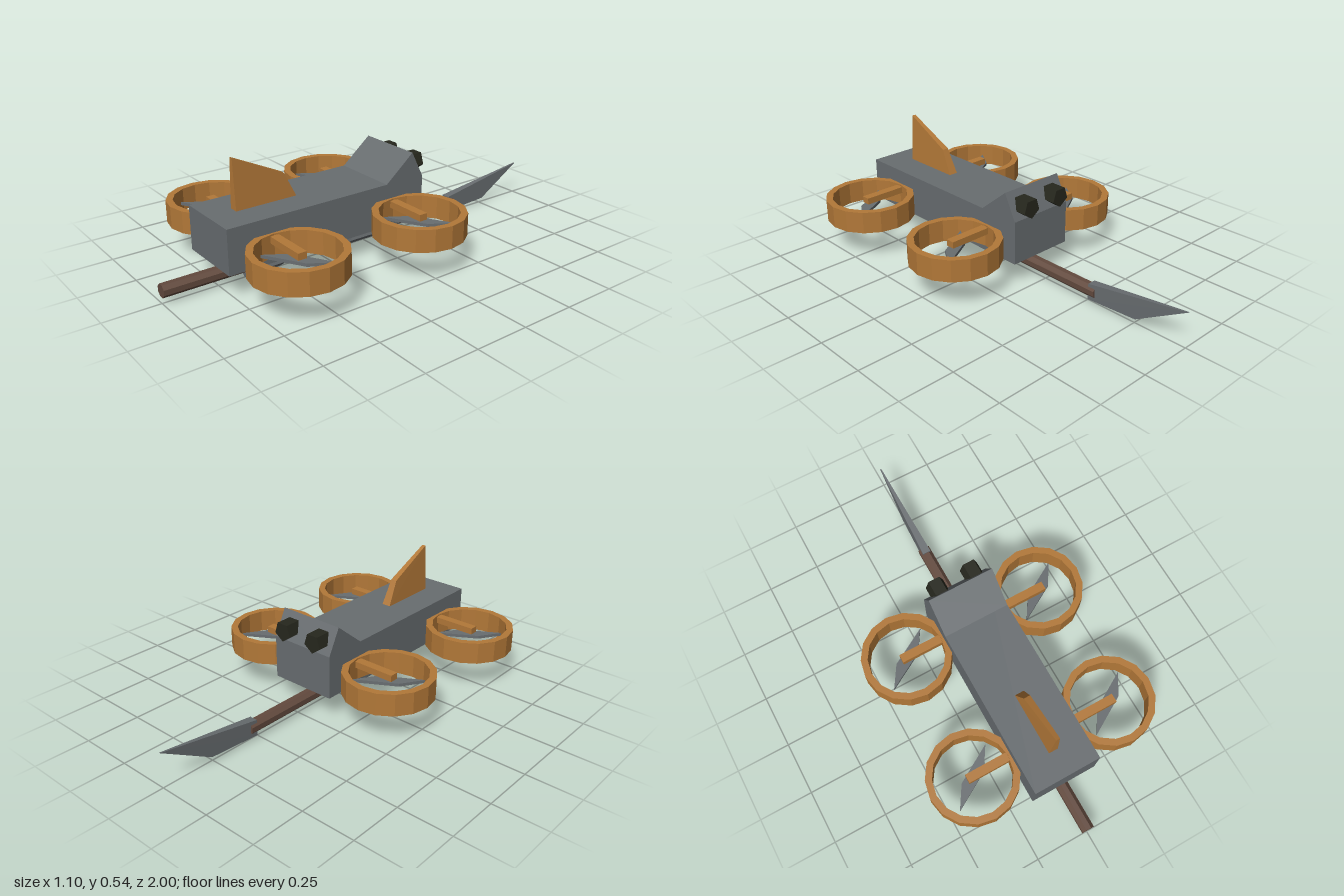
import * as THREE from 'three';
import { ConvexGeometry } from 'three/addons/geometries/ConvexGeometry.js';

const material = (name, color) => {
  const m = new THREE.MeshStandardMaterial({ color, flatShading: true });
  m.name = name;
  return m;
};

// Solid from a side profile of [z, y, half width] points
function slab(profile) {
  return new ConvexGeometry(profile.flatMap(([z, y, w]) =>
    [new THREE.Vector3(-w, y, z), new THREE.Vector3(w, y, z)]));
}

// Prism lying along z; the first corner points straight down
function prism(radius, z0, z1, sides, turn = 0) {
  return new THREE.CylinderGeometry(radius, radius, z1 - z0, sides, 1, false, turn)
    .rotateX(Math.PI / 2).translate(0, 0, (z0 + z1) / 2);
}

// Plate drawn in the xz plane and raised along y
function plate(shape, height) {
  return new THREE.ExtrudeGeometry(shape, { depth: height, bevelEnabled: false }).rotateX(-Math.PI / 2);
}

function polygon(radius, sides) {
  return Array.from({ length: sides }, (_, i) => {
    const a = i / sides * Math.PI * 2;
    return new THREE.Vector2(Math.cos(a) * radius, Math.sin(a) * radius);
  });
}

export function createModel() {
  const metal = material('grey metal', 0x686d70);
  const wood = material('orange wood', 0xb27838);
  const brown = material('dark brown', 0x634a3e);
  const black = material('lens black', 0x26271d);

  const group = new THREE.Group();
  group.name = 'quadRotorCraft';
  const add = (name, geometry, mat, x = 0, y = 0, z = 0, parent = group) => {
    const mesh = new THREE.Mesh(geometry, mat);
    mesh.name = name;
    mesh.position.set(x, y, z);
    parent.add(mesh);
    return mesh;
  };

  // Hull with a wedge-shaped head
  add('body', new THREE.BoxGeometry(0.316, 0.2, 0.995), metal, 0, 0.218, 0.2825);
  add('head', slab([[-0.01, 0.317, 0.158], [-0.155, 0.436, 0.158], [-0.215, 0.317, 0.158]]), metal);
  for (const s of [-1, 1]) add('eye', prism(0.046, -0.245, -0.17, 5), black, s * 0.087, 0.37);

  // Tail fin, thinner towards the top
  add('fin', slab([[0.66, 0.31, 0.022], [0.66, 0.543, 0.009], [0.425, 0.43, 0.015], [0.367, 0.31, 0.022]]), wood);

  // Spear held under the hull by two brackets
  add('shaft', prism(0.0305, -0.55, 1, 8, Math.PI / 8), brown, 0, 0.06);
  add('spearBlade', slab([[-0.515, 0.094, 0.02], [-1, 0.165, 0.003], [-0.76, 0.028, 0.011], [-0.515, 0.02, 0.02]]), metal);
  for (const z of [0.025, 0.54]) add('bracket', prism(0.067, -0.086, 0.086, 5), metal, 0, 0.071, z);

  // Four ducted rotors
  const ringShape = new THREE.Shape(polygon(0.206, 16));
  ringShape.holes.push(new THREE.Path(polygon(0.175, 16)));
  const ring = plate(ringShape, 0.102);
  const propeller = plate(new THREE.Shape([
    new THREE.Vector2(0.118, 0.1), new THREE.Vector2(-0.055, 0),
    new THREE.Vector2(-0.118, -0.1), new THREE.Vector2(0.055, 0),
  ]), 0.014);
  const strut = new THREE.BoxGeometry(0.22, 0.03, 0.04);
  for (const s of [-1, 1]) for (const z of [-0.04, 0.575]) {
    const rotor = new THREE.Group();
    rotor.name = 'rotor';
    rotor.position.set(s * 0.343, 0, z);
    group.add(rotor);
    add('ring', ring, wood, 0, 0.148, 0, rotor);
    add('strut', strut, wood, s * -0.083, 0.228, 0, rotor);
    add('propeller', propeller, metal, 0, 0.193, 0, rotor);
  }
  return group;
}
